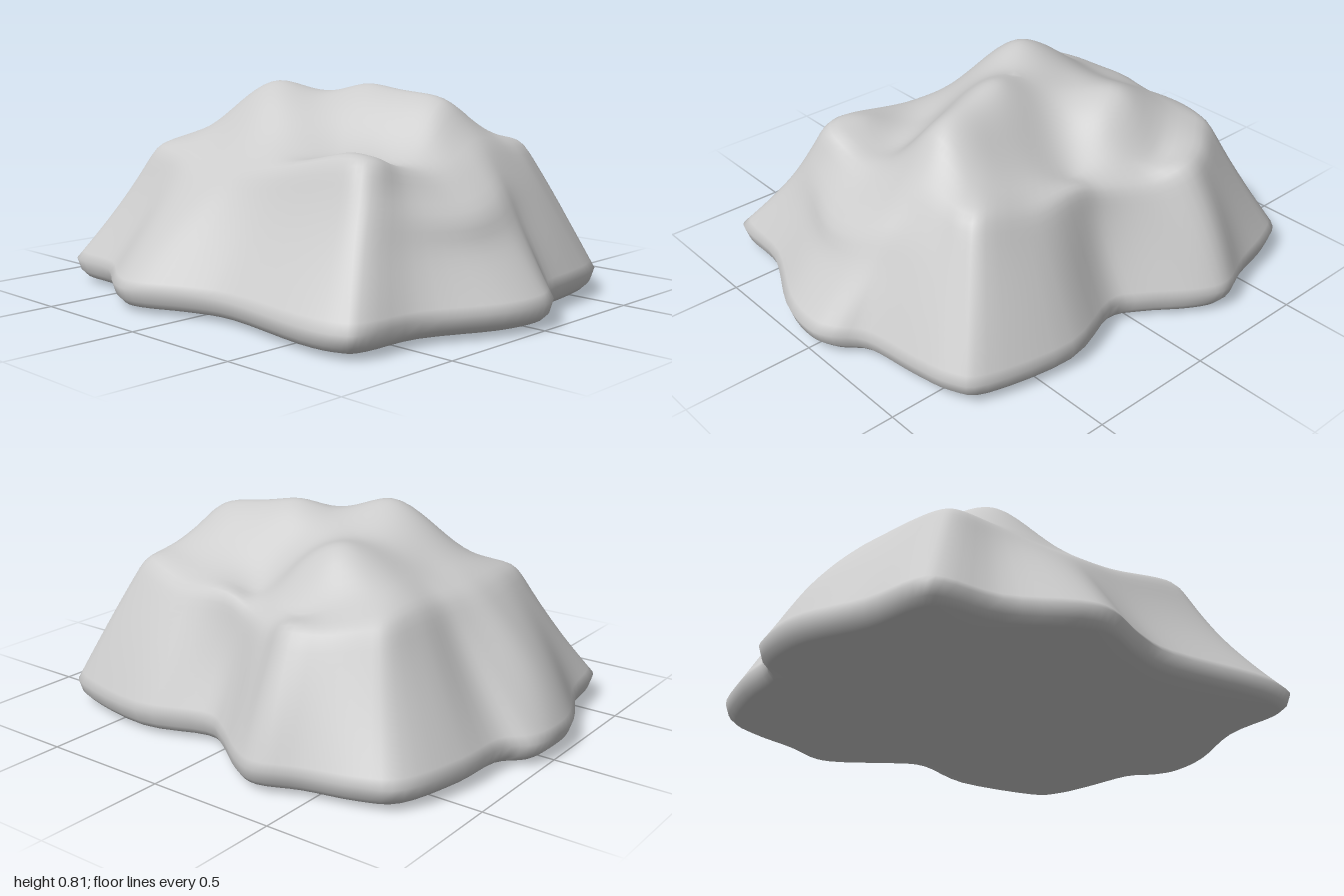
import * as THREE from 'three';

// Foot of the rock, counterclockwise from the front: [x, z, swell of the flank above]
const FOOT = [
  [0, 1, 0], [0.1, 0.965, 0], [0.2, 0.885, 0.01], [0.42, 0.85, 0.01], [0.58, 0.81, 0], [0.67, 0.72, 0.01], [0.73, 0.37, 0.01],
  [0.65, 0.1, -0.02], [0.7, -0.03, -0.02], [0.82, -0.2, 0], [0.86, -0.32, 0.015], [0.8, -0.48, 0.01], [0.75, -0.68, 0], [0.67, -0.81, -0.01],
  [0.42, -0.88, 0], [0.2, -0.9, -0.01], [0.1, -0.98, 0], [-0.03, -1, 0.04], [-0.18, -0.98, 0.04], [-0.4, -0.88, 0.02], [-0.62, -0.84, -0.01],
  [-0.69, -0.77, -0.02], [-0.71, -0.55, -0.01], [-0.84, -0.33, 0.01], [-0.86, -0.2, 0.01], [-0.78, 0, -0.01], [-0.74, 0.2, -0.02],
  [-0.79, 0.6, -0.05], [-0.77, 0.77, -0.045], [-0.7, 0.82, -0.03], [-0.46, 0.84, 0], [-0.18, 0.97, 0],
];
// Rim of the plateau above each foot point: [x, z, y]
const RIM = [
  [0, 0.59, 0.57], [0.11, 0.58, 0.62], [0.19, 0.58, 0.63], [0.3, 0.58, 0.61], [0.39, 0.58, 0.6], [0.45, 0.53, 0.6], [0.48, 0.34, 0.55],
  [0.48, 0.13, 0.55], [0.5, 0, 0.51], [0.57, -0.16, 0.5], [0.63, -0.29, 0.55], [0.59, -0.42, 0.55], [0.51, -0.53, 0.57], [0.45, -0.59, 0.58],
  [0.32, -0.6, 0.59], [0.18, -0.6, 0.58], [0.08, -0.61, 0.58], [-0.03, -0.62, 0.58], [-0.14, -0.61, 0.58], [-0.28, -0.6, 0.58], [-0.4, -0.58, 0.57],
  [-0.45, -0.53, 0.56], [-0.47, -0.4, 0.54], [-0.49, -0.25, 0.51], [-0.49, -0.12, 0.51], [-0.48, 0.02, 0.53], [-0.47, 0.18, 0.55],
  [-0.46, 0.42, 0.6], [-0.45, 0.54, 0.61], [-0.39, 0.59, 0.6], [-0.28, 0.59, 0.56], [-0.14, 0.59, 0.54],
];
// Peaks, ridges and hollows of the top: [x, z, y]
const TOP = [
  [0.1, 0.47, 0.75], [0.08, 0.32, 0.78], [0.05, 0.12, 0.81], [-0.04, -0.02, 0.77], [-0.16, -0.17, 0.815],
  [-0.18, -0.32, 0.74], [-0.16, 0.42, 0.55], [-0.24, 0.22, 0.58], [-0.3, 0, 0.66], [-0.28, -0.17, 0.73],
  [0.33, -0.27, 0.725], [0.36, -0.12, 0.65], [0.1, -0.2, 0.72], [0.24, -0.02, 0.65], [0.39, 0.06, 0.52],
  [0.25, 0.3, 0.67], [0.27, 0.45, 0.66], [0.44, -0.32, 0.6], [0.52, -0.29, 0.53],
  [0, -0.46, 0.63], [0.3, -0.45, 0.65], [-0.3, -0.42, 0.62], [-0.38, 0.44, 0.61],
];

const COLUMNS = 128, SLOPE = 16, CAP = 22, MEAN = 0.62;

// Evenly spaced samples of a smooth closed loop, keeping loops in step
function sampleLoop(points) {
  const curve = new THREE.CatmullRomCurve3(
    points.map(([x, z, y]) => new THREE.Vector3(x, y, z)), true, 'catmullrom', 0.5);
  return Array.from({ length: COLUMNS }, (_, i) => curve.getPoint(i / COLUMNS));
}

// Smooth surface through the rim and top points, by radial basis weights
function fitTop() {
  const points = [...TOP, ...RIM], weights = points.map(() => 0);
  const kernel = (x, z, p) => {
    const a = Math.hypot(x - p[0], z - p[1]) / 0.18;
    return (1 + a) * Math.exp(-a);
  };
  const height = (x, z) => points.reduce((sum, p, i) => sum + weights[i] * kernel(x, z, p), MEAN);
  for (let pass = 0; pass < 300; pass++)
    points.forEach(([x, z, y], i) => {
      weights[i] += (y - height(x, z) - 0.02 * weights[i]) / 1.02;
    });
  return height;
}

function buildRock() {
  const foot = sampleLoop(FOOT), rim = sampleLoop(RIM), topHeight = fitTop(), rings = [];

  // Flat underside and bevelled lower edge
  for (const [scale, y] of [[0, 0], [0.5, 0], [0.8, 0], [0.84, 0.005], [0.96, 0.022], [0.985, 0.045]])
    rings.push(foot.map(p => new THREE.Vector3(p.x * scale, y, p.z * scale)));

  // Flanks, swollen or hollowed, with a ledge across the front
  const rimRing = rings.length + SLOPE;
  for (let j = 0; j < SLOPE; j++) {
    const t = j / SLOPE;
    rings.push(foot.map((p, i) => {
      const v = new THREE.Vector3(p.x, 0.09, p.z).lerp(rim[i], t);
      const swell = 1 + p.y * Math.sin(Math.PI * t) / Math.hypot(v.x, v.z);
      v.x *= swell;
      v.z *= swell;
      if (v.z > 0.5)
        v.z += 0.045 * Math.exp(-(((v.x + 0.13) / 0.25) ** 2) - ((t - 0.66) / 0.17) ** 2);
      return v;
    }));
  }

  // Craggy top, drawn in from the rim to the centre
  for (let j = 0; j <= CAP; j++) {
    const s = 1 - j / CAP, keep = THREE.MathUtils.smoothstep(s, 0.86, 1);
    rings.push(rim.map(p => {
      const x = p.x * s, z = p.z * s;
      return new THREE.Vector3(x, THREE.MathUtils.lerp(topHeight(x, z), p.y, keep), z);
    }));
  }

  // Weather the rim
  for (let pass = 0; pass < 3; pass++)
    for (let j = rimRing - 3; j <= rimRing + 3; j++)
      rings[j].forEach((v, i) =>
        v.lerp(rings[j - 1][i].clone().add(rings[j + 1][i]).multiplyScalar(0.5), 0.5));

  const index = [];
  for (let j = 0; j < rings.length - 1; j++)
    for (let i = 0; i < COLUMNS; i++) {
      const n = (i + 1) % COLUMNS;
      const a = j * COLUMNS + i, b = j * COLUMNS + n, c = b + COLUMNS, d = a + COLUMNS;
      if (j > 0) index.push(a, b, c);
      if (j < rings.length - 2) index.push(a, c, d);
    }
  const geometry = new THREE.BufferGeometry().setFromPoints(rings.flat());
  geometry.setIndex(index);
  geometry.computeVertexNormals();

  // Shared normals where the rings close to a point
  const normal = geometry.attributes.normal;
  const last = (rings.length - 1) * COLUMNS;
  for (let i = 0; i < COLUMNS; i++) {
    normal.setXYZ(i, 0, -1, 0);
    normal.setXYZ(last + i, 0, 1, 0);
  }
  return geometry;
}

export function createModel() {
  const group = new THREE.Group();
  group.name = 'boulder';
  const rock = new THREE.Mesh(buildRock(), new THREE.MeshStandardMaterial({ color: 0xcccccc }));
  rock.name = 'rock';
  group.add(rock);
  return group;
}
